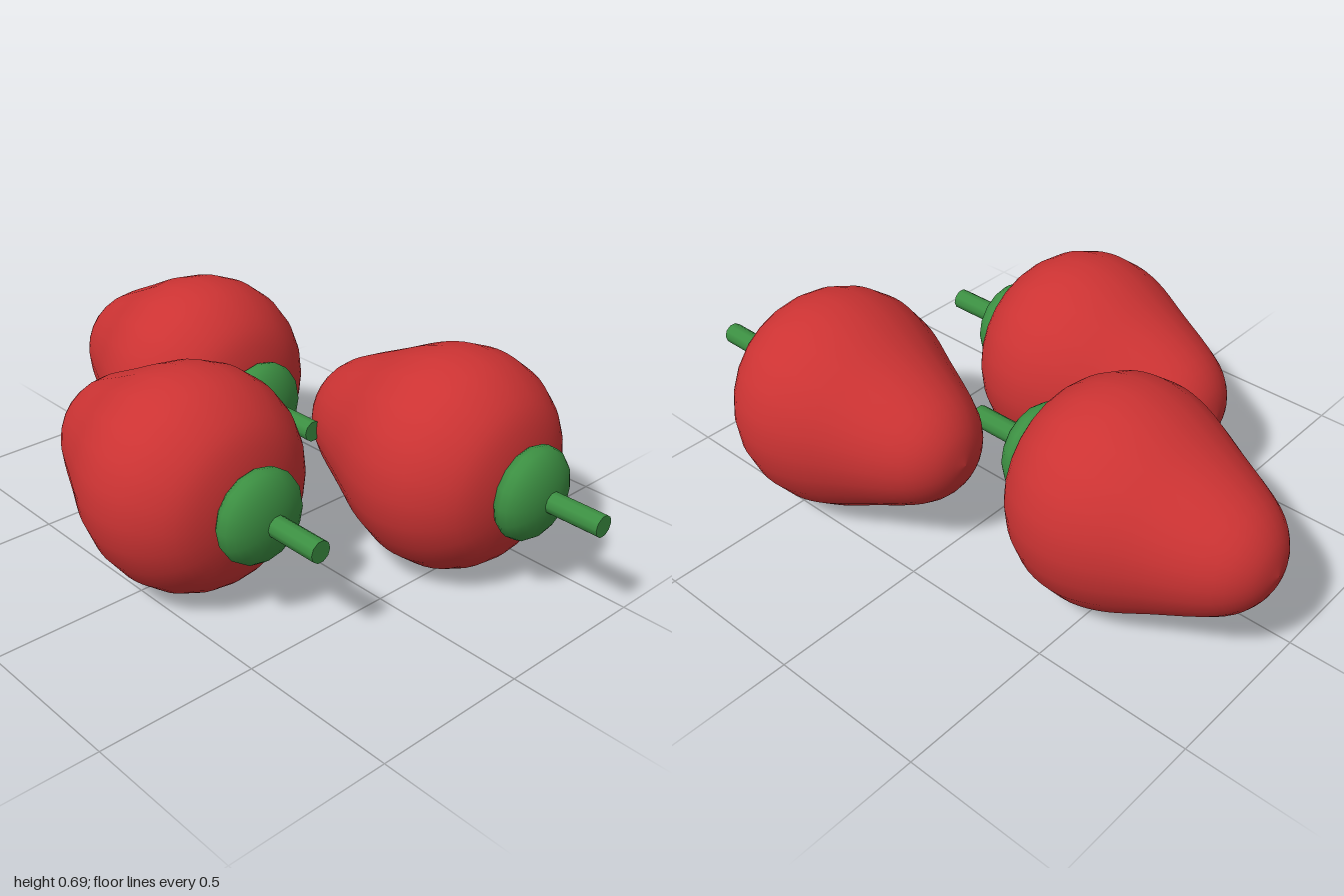
import * as THREE from 'three';

const red = new THREE.MeshStandardMaterial({ color: 0xcc3333 });
const green = new THREE.MeshStandardMaterial({ color: 0x3c8f42 });

// Body outline as [radius, distance from tip]
const outline = [
  [0, 0], [0.09, 0.025], [0.17, 0.1], [0.255, 0.27], [0.32, 0.41], [0.343, 0.53],
  [0.318, 0.65], [0.24, 0.75], [0.13, 0.797], [0, 0.81],
].map(([r, d]) => new THREE.Vector2(r, d));

function bodyGeometry() {
  const points = new THREE.SplineCurve(outline).getPoints(36);
  points.forEach((p) => { p.x = Math.max(0, p.x); });
  points[0].x = points[points.length - 1].x = 0;
  return new THREE.LatheGeometry(points, 24);
}

// One fruit, standing on its tip along +y
function createFruit() {
  const fruit = new THREE.Group();
  const add = (name, geometry, material, y) => {
    const mesh = new THREE.Mesh(geometry, material);
    mesh.name = name;
    mesh.position.y = y;
    fruit.add(mesh);
  };
  add('body', bodyGeometry(), red, 0);
  add('cap', new THREE.SphereGeometry(0.146, 16, 12).scale(1, 0.52, 1), green, 0.826);
  add('stem', new THREE.CylinderGeometry(0.034, 0.034, 0.22, 10), green, 0.96);
  return fruit;
}

export function createModel() {
  const model = new THREE.Group();
  model.name = 'fruits';
  // Tip positions [x, z]; every fruit lies with its stem towards +x
  [[-1, -0.128], [-0.485, 0.33], [-0.07, -0.333]].forEach(([x, z], i) => {
    const fruit = createFruit();
    fruit.name = `fruit${i + 1}`;
    fruit.rotation.z = -Math.PI / 2;
    fruit.position.set(x, 0.347, z);
    model.add(fruit);
  });
  return model;
}
